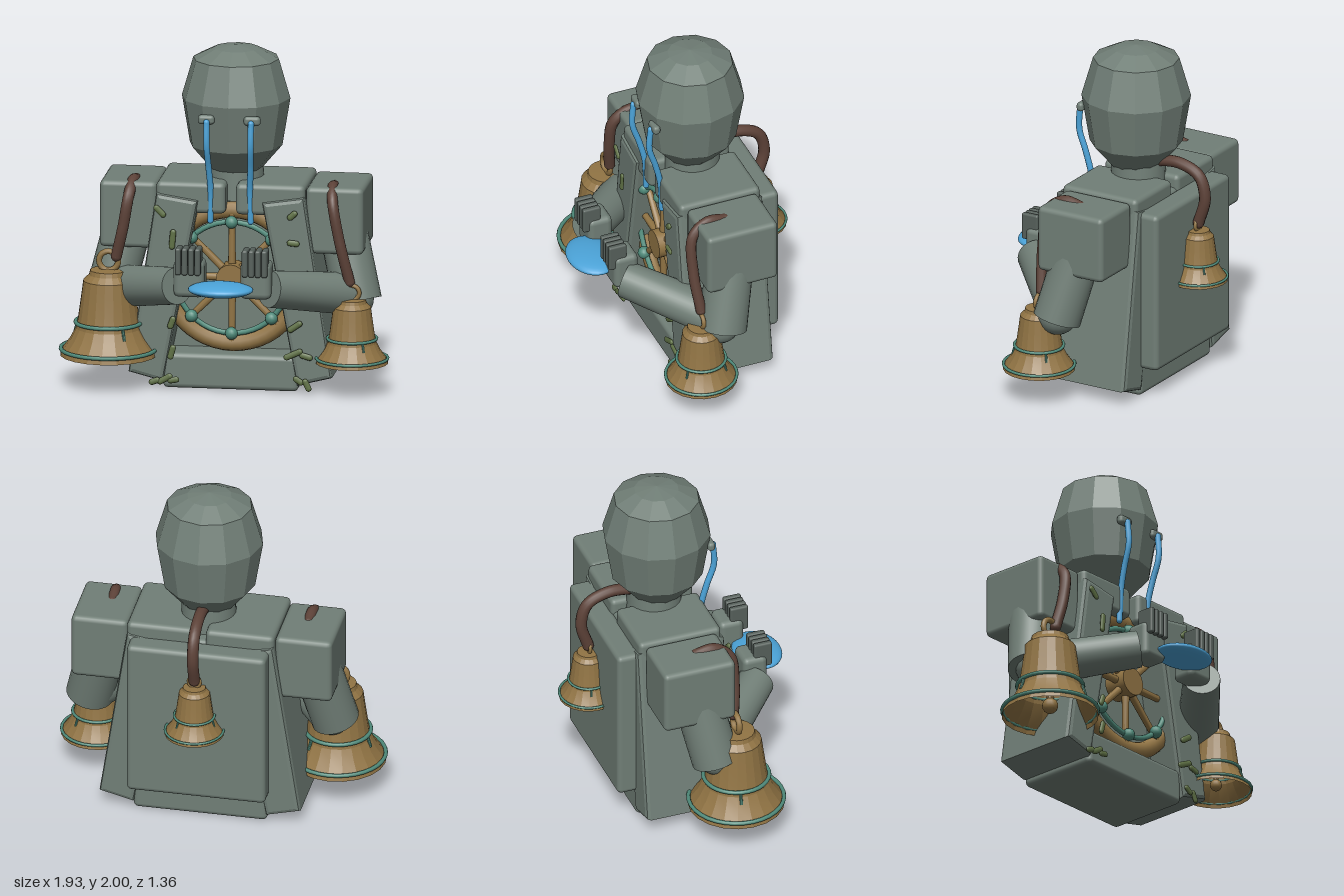
import * as THREE from 'three';
import { toCreasedNormals } from 'three/addons/utils/BufferGeometryUtils.js';
import { RoundedBoxGeometry } from 'three/addons/geometries/RoundedBoxGeometry.js';

const mat = (name, color, side = THREE.FrontSide) => {
  const m = new THREE.MeshStandardMaterial({ color, side });
  m.name = name;
  return m;
};
const stone = mat('grey stone', 0x717f77);
const dark = mat('dark stone', 0x56605b);
const gold = mat('aged bronze', 0x917444, THREE.DoubleSide);
const teal = mat('verdigris', 0x4f8a7a);
const brown = mat('brown rope', 0x5d4238);
const blue = mat('water blue', 0x4ba3d8);
const moss = mat('moss green', 0x5f7145);

const V = (x, y, z) => new THREE.Vector3(x, y, z);
const CX = 0.035; // the body's own middle line

function add(parent, name, geo, material, x = 0, y = 0, z = 0) {
  const m = new THREE.Mesh(geo, material);
  m.name = name;
  m.position.set(x, y, z);
  parent.add(m);
  return m;
}
// Rounded block given by its limits
function block(parent, name, material, x0, x1, y0, y1, z0, z1, r = 0.03) {
  const g = new RoundedBoxGeometry(x1 - x0, y1 - y0, z1 - z0, 2, r);
  return add(parent, name, g, material, (x0 + x1) / 2, (y0 + y1) / 2, (z0 + z1) / 2);
}
// Tapered rod from a to b
function rod(parent, name, material, a, b, ra, rb, sides = 24) {
  const g = toCreasedNormals(new THREE.CylinderGeometry(rb, ra, a.distanceTo(b), sides), 0.6);
  const m = add(parent, name, g, material);
  m.position.copy(a).add(b).multiplyScalar(0.5);
  m.quaternion.setFromUnitVectors(V(0, 1, 0), b.clone().sub(a).normalize());
  return m;
}
// Round rope through points, with rounded ends
function rope(parent, name, material, pts, r) {
  const c = new THREE.CatmullRomCurve3(pts);
  add(parent, name, new THREE.TubeGeometry(c, 32, r, 12), material);
  for (const p of [pts[0], pts[pts.length - 1]])
    add(parent, name + 'End', new THREE.SphereGeometry(r, 12, 8), material, p.x, p.y, p.z);
}

// Bell standing on its mouth; s scales the whole bell
function bell(parent, name, x, y, z, s) {
  const g = new THREE.Group();
  g.name = name;
  const p = [[0.21, 0], [0.205, 0.02], [0.165, 0.075], [0.142, 0.12], [0.132, 0.17], [0.118, 0.27],
    [0.11, 0.33], [0.085, 0.355], [0.08, 0.375], [0, 0.38]].map(([r, h]) => new THREE.Vector2(r, h));
  add(g, 'bellShell', toCreasedNormals(new THREE.LatheGeometry(p, 20), 0.2), gold);
  for (const [r, h, t] of [[0.207, 0.028, 0.009], [0.143, 0.145, 0.009]])
    add(g, 'bellBand', new THREE.TorusGeometry(r, t, 8, 32), teal, 0, h, 0).rotation.x = Math.PI / 2;
  add(g, 'bellLoop', new THREE.TorusGeometry(0.042, 0.013, 10, 20), gold, 0, 0.415, 0);
  rod(g, 'clapperRod', gold, V(0, 0.36, 0), V(0, 0.04, 0), 0.012, 0.016, 10);
  add(g, 'clapper', new THREE.SphereGeometry(0.035, 14, 10), gold, 0, 0.05, 0);
  // Patina streaks
  for (const a of [0.6, 2.4, 4.5]) {
    const d = (r, h) => V(Math.sin(a) * r, h, Math.cos(a) * r);
    rod(g, 'patinaStreak', teal, d(0.155, 0.09), d(0.14, 0.14), 0.007, 0.007, 8);
  }
  g.scale.setScalar(s);
  g.position.set(x, y, z);
  parent.add(g);
}

export function createModel() {
  const root = new THREE.Group();
  root.name = 'bellKeeper';

  // Head and neck
  const headProfile = [[0, 1.26], [0.15, 1.27], [0.27, 1.41], [0.317, 1.69], [0.25, 1.92], [0.13, 1.98], [0, 2]]
    .map(([r, y]) => new THREE.Vector2(r, y));
  add(root, 'head', toCreasedNormals(new THREE.LatheGeometry(headProfile, 12), 0.05), stone, CX, 0, -0.085);
  rod(root, 'neck', stone, V(CX, 1.1, -0.1), V(CX, 1.32, -0.1), 0.165, 0.155);

  // Torso core, base beam and back panel
  block(root, 'torsoCore', stone, CX - 0.4, CX + 0.4, 0.1, 1.15, -0.34, -0.03);
  block(root, 'baseBeam', stone, CX - 0.395, CX + 0.395, 0, 0.21, -0.355, 0.16);
  block(root, 'backPanel', stone, CX - 0.41, CX + 0.41, 0.18, 1.14, -0.475, -0.33);

  for (const s of [-1, 1]) {
    const X = (x) => CX + s * x;
    const span = (a, b) => (s > 0 ? [X(a), X(b)] : [X(b), X(a)]);

    // Leaning side pillar
    const q = [[0.41, 0.07], [0.565, 0.11], [0.41, 1.13], [0.215, 1.1]];
    const shape = new THREE.Shape(q.map(([x, y]) => new THREE.Vector2(s * x, y)));
    const pillar = new THREE.ExtrudeGeometry(shape, { depth: 0.49, bevelSize: 0.026, bevelThickness: 0.026, bevelSegments: 2 });
    add(root, 'sidePillar', pillar, stone, CX, 0, -0.34);

    // Chest block and shoulder
    block(root, 'chestBlock', stone, ...span(0.03, 0.435), 1.04, 1.225, -0.35, 0.155);
    block(root, 'shoulder', stone, ...span(0.435, 0.77), 0.815, 1.21, -0.32, 0.12);

    // Arm
    const elbow = V(X(0.7), 0.56, 0), wrist = V(X(0.27), 0.675, 0.43);
    rod(root, 'upperArm', stone, V(X(0.62), 0.95, -0.08), V(X(0.725), 0.52, 0.01), 0.14, 0.14);
    add(root, 'elbow', new THREE.SphereGeometry(0.12, 20, 14), stone, elbow.x, elbow.y - 0.02, elbow.z + 0.02);
    rod(root, 'forearm', stone, elbow, wrist, 0.125, 0.108);

    // Hand with four upright fingers
    block(root, 'palm', stone, ...span(0.105, 0.285), 0.62, 0.84, 0.35, 0.5, 0.035);
    for (let i = 0; i < 4; i++) {
      const x = 0.138 + i * 0.038;
      block(root, 'finger', dark, ...span(x - 0.017, x + 0.017), 0.76, 0.92, 0.42, 0.53, 0.012);
    }

    // Weeping eye: lid and stream of water
    block(root, 'eyelid', stone, ...span(0.085, 0.183), 1.585, 1.64, 0.17, 0.215, 0.02);
    rope(root, 'tearStream', blue, [V(X(0.13), 1.6, 0.215), V(X(0.128), 1.46, 0.222), V(X(0.122), 1.32, 0.18),
      V(X(0.115), 1.18, 0.148), V(X(0.118), 1.0, 0.14)], 0.018);
  }

  // Water bowl
  add(root, 'waterPool', new THREE.SphereGeometry(1, 28, 16), blue, CX, 0.687, 0.535).scale.set(0.19, 0.042, 0.14);

  // Ship's wheel inside the frame
  const wheel = new THREE.Group();
  wheel.name = 'wheel';
  wheel.position.set(CX, 0.655, 0.06);
  root.add(wheel);
  add(wheel, 'wheelRim', new THREE.TorusGeometry(0.395, 0.05, 10, 48), gold).scale.z = 0.8;
  add(wheel, 'wheelInnerRing', new THREE.TorusGeometry(0.33, 0.016, 8, 48), teal, 0, 0, 0.035);
  rod(wheel, 'wheelHub', gold, V(0, 0, -0.06), V(0, 0, 0.08), 0.085, 0.085, 20);
  for (let i = 0; i < 8; i++) {
    const a = (i * Math.PI) / 4, x = Math.sin(a), y = Math.cos(a);
    rod(wheel, 'spoke', gold, V(0, 0, 0.02), V(x * 0.39, y * 0.39, 0.02), 0.024, 0.018, 12);
    add(wheel, 'spokeKnob', new THREE.SphereGeometry(0.037, 14, 10), teal, x * 0.33, y * 0.33, 0.045);
  }

  // Bells and the ropes that hold them
  bell(root, 'rightBell', -0.677, 0.185, 0.14, 1.34);
  bell(root, 'leftBell', 0.745, 0.185, 0.14, 1);
  bell(root, 'backBell', CX, 0.63, -0.505, 0.82);
  rope(root, 'rightRope', brown, [V(-0.545, 1.185, -0.06), V(-0.548, 1.2, 0.05), V(-0.56, 1.13, 0.145),
    V(-0.59, 0.95, 0.16), V(-0.632, 0.77, 0.14)], 0.033);
  rope(root, 'leftRope', brown, [V(0.615, 1.185, -0.06), V(0.618, 1.2, 0.05), V(0.632, 1.13, 0.145),
    V(0.675, 0.9, 0.16), V(0.73, 0.66, 0.135)], 0.031);
  rope(root, 'backRope', brown, [V(CX, 1.31, -0.2), V(CX, 1.325, -0.38), V(CX, 1.27, -0.51),
    V(CX, 1.14, -0.55), V(CX, 0.98, -0.507)], 0.034);

  // Moss tufts on the frame: x, y, angle in degrees, length
  const tufts = [[-0.37, 1.06, -45, 0.09], [-0.295, 0.895, 85, 0.12], [0.405, 1.06, 42, 0.07], [0.41, 0.895, -5, 0.075],
    [-0.3, 0.4, 70, 0.08], [-0.3, 0.225, 75, 0.09], [-0.4, 0.05, 20, 0.07], [-0.34, 0.065, 30, 0.1], [-0.29, 0.06, 10, 0.07],
    [0.42, 0.4, 35, 0.1], [0.41, 0.235, 25, 0.12], [0.485, 0.225, -15, 0.08], [0.44, 0.08, -35, 0.07], [0.49, 0.055, -65, 0.08]];
  for (const [x, y, deg, len] of tufts) {
    const m = add(root, 'mossTuft', new THREE.CapsuleGeometry(0.018, len - 0.036, 4, 10), moss, x, y, 0.203);
    m.rotation.z = THREE.MathUtils.degToRad(deg - 90);
    m.scale.z = 0.6;
  }
  return root;
}
